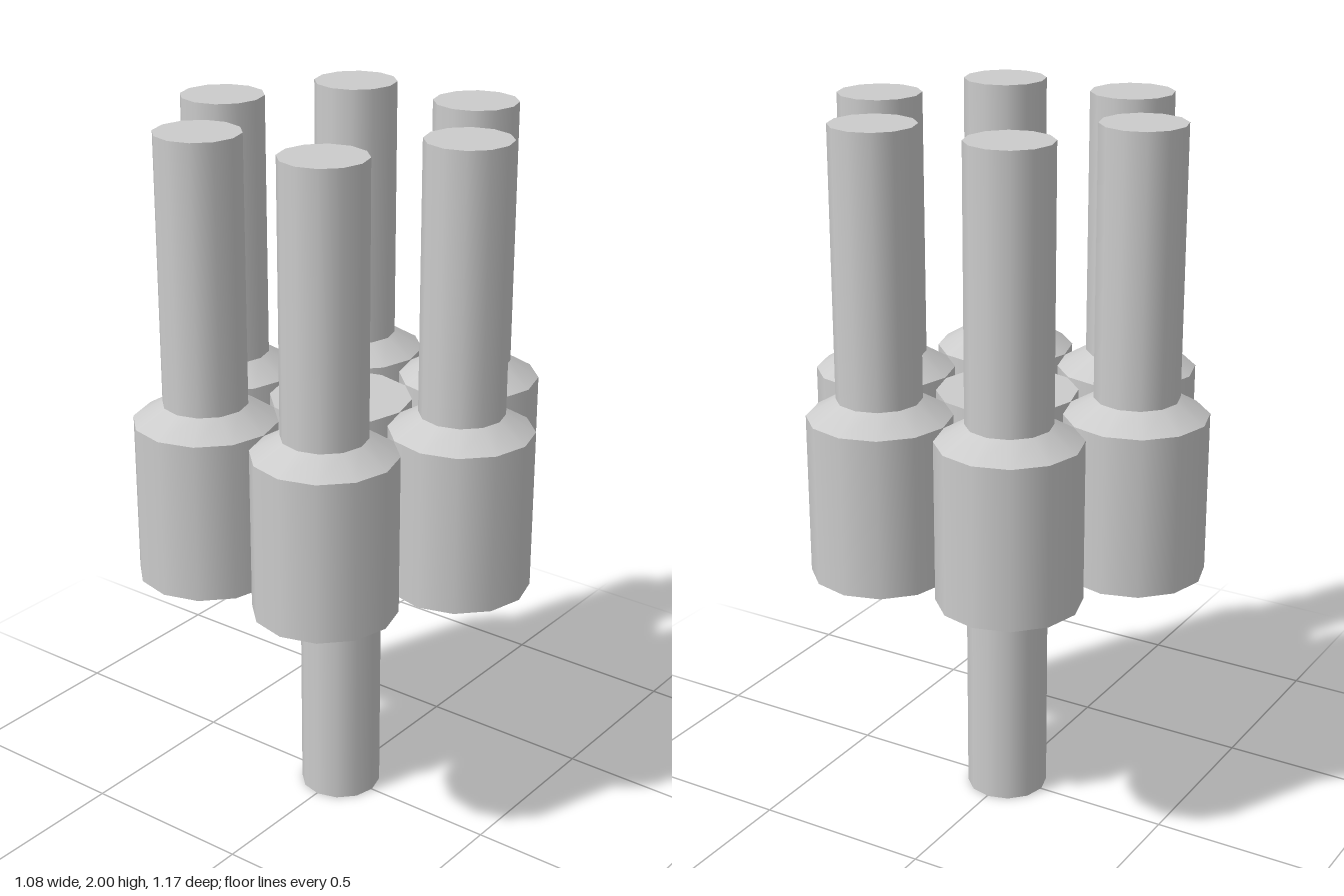
import * as THREE from 'three';
import { mergeGeometries } from 'three/addons/utils/BufferGeometryUtils.js';

const SIDES = 12, BODY_R = 0.195, STEM_R = 0.115, RING_R = 0.392;
const BODY_H = 0.445, SHOULDER_H = 0.048, TOTAL_H = 1.222;

// A solid of stacked sections, creased between them: wide body, sloped shoulder, slim stem
function unitGeometry() {
  const section = (rTop, rBottom, y0, y1) =>
    new THREE.CylinderGeometry(rTop, rBottom, y1 - y0, SIDES, 1, true).translate(0, (y0 + y1) / 2, 0);
  const cap = (r, y, tilt) =>
    new THREE.CircleGeometry(r, SIDES).rotateX(tilt).translate(0, y, 0);
  const shoulderTop = BODY_H + SHOULDER_H;
  return mergeGeometries([
    cap(BODY_R, 0, Math.PI / 2),
    section(BODY_R, BODY_R, 0, BODY_H),
    section(STEM_R, BODY_R, BODY_H, shoulderTop),
    section(STEM_R, STEM_R, shoulderTop, TOTAL_H),
    cap(STEM_R, TOTAL_H, -Math.PI / 2),
  ]);
}

export function createModel() {
  const model = new THREE.Group();
  model.name = 'cylinderCluster';
  const material = new THREE.MeshStandardMaterial({ color: 0xcccccc });
  const geometry = unitGeometry();

  // The whole cluster is turned very slightly about its axis
  const cluster = new THREE.Group();
  cluster.name = 'cluster';
  cluster.rotation.y = THREE.MathUtils.degToRad(1.3);
  model.add(cluster);

  // Central unit hangs with its stem pointing down
  const centre = new THREE.Mesh(geometry, material);
  centre.name = 'centreUnit';
  centre.rotation.x = Math.PI;
  centre.position.y = TOTAL_H;
  cluster.add(centre);

  // Six upright units around it
  for (let i = 0; i < 6; i++) {
    const angle = (i * Math.PI) / 3;
    const unit = new THREE.Mesh(geometry, material);
    unit.name = `ringUnit${i + 1}`;
    unit.position.set(RING_R * Math.sin(angle), 2 - TOTAL_H, RING_R * Math.cos(angle));
    unit.rotation.y = angle;
    cluster.add(unit);
  }
  return model;
}
